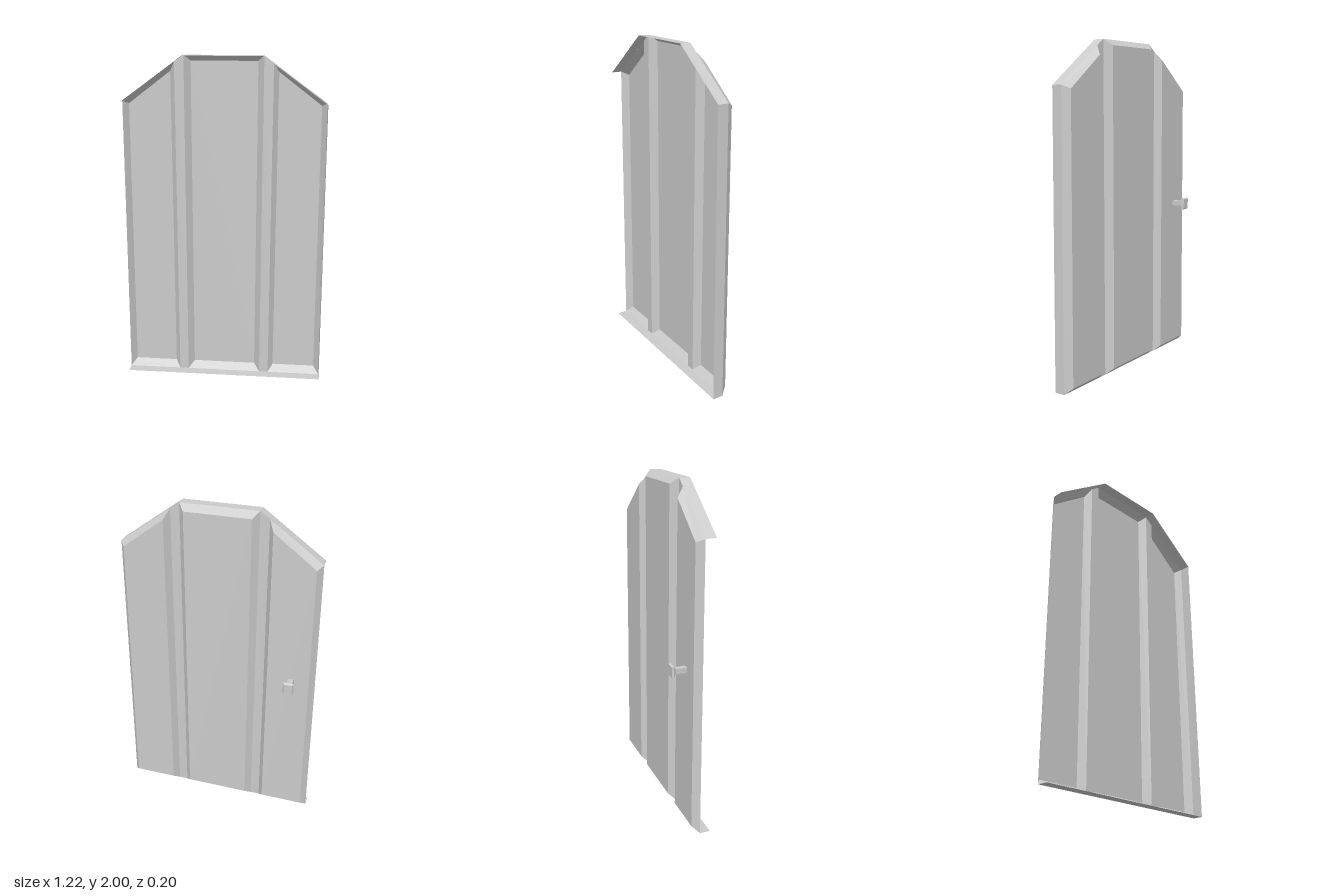
import * as THREE from 'three';

const FRONT = 0.1, SEAT = 0.036, BACK = -0.006; // depths: rim front, groove floor, panel face
const material = new THREE.MeshStandardMaterial({ color: 0xcccccc, flatShading: true, side: THREE.DoubleSide });

// Flat-shaded mesh from four-cornered faces
function quadMesh(name, quads) {
  const pos = [];
  for (const [a, b, c, d] of quads) pos.push(...a, ...b, ...c, ...a, ...c, ...d);
  const geometry = new THREE.BufferGeometry();
  geometry.setAttribute('position', new THREE.Float32BufferAttribute(pos, 3));
  geometry.computeVertexNormals();
  const mesh = new THREE.Mesh(geometry, material);
  mesh.name = name;
  return mesh;
}

const at = (points, z) => points.map(([x, y]) => [x, y, z]);
const mirror = (points) => points.map(([x, y]) => [-x, y]).reverse();

// Raised panel: bevelled sides from the groove level out to a flat face
function panel(name, base, face) {
  const lo = at(base, SEAT), hi = at(face, BACK);
  const quads = lo.map((p, i) => {
    const j = (i + 1) % lo.length;
    return [p, hi[i], hi[j], lo[j]];
  });
  quads.push([...hi].reverse());
  return quadMesh(name, quads);
}

export function createModel() {
  const group = new THREE.Group();
  group.name = 'door';

  // Rim around the door, left open along the -x edge
  const outline = [[-0.61, 0], [0.61, 0], [0.595, 1.735], [0.23, 2], [-0.23, 2], [-0.595, 1.735]];
  const inner = at(outline, SEAT), outer = at(outline, FRONT);
  group.add(quadMesh('rim', outline.slice(1).map((_, i) => [inner[i], inner[i + 1], outer[i + 1], outer[i]])));

  // Middle panel
  group.add(panel('middlePanel',
    [[-0.23, 0], [0.23, 0], [0.23, 2], [-0.23, 2]],
    [[-0.195, 0.037], [0.195, 0.037], [0.195, 1.965], [-0.195, 1.965]]));

  // Side panels and the grooves beside them
  const base = [[0.285, 0], [0.61, 0], [0.595, 1.735], [0.285, 1.96]];
  const face = [[0.315, 0.037], [0.577, 0.037], [0.565, 1.715], [0.315, 1.905]];
  const groove = [[0.23, 0], [0.285, 0], [0.285, 1.96], [0.23, 2]];
  group.add(panel('leftPanel', base, face), panel('rightPanel', mirror(base), mirror(face)));
  group.add(quadMesh('leftGroove', [at(groove, SEAT).reverse()]));
  group.add(quadMesh('rightGroove', [at(mirror(groove), SEAT).reverse()]));

  // Square handle: stem and bevelled knob
  const handle = new THREE.Group();
  handle.name = 'handle';
  handle.position.set(-0.464, 0.985, 0);
  const stem = new THREE.Mesh(new THREE.BoxGeometry(0.033, 0.03, 0.072), material);
  stem.name = 'stem';
  stem.position.z = BACK - 0.036;
  handle.add(stem);

  const ring = (w, h, z) => at([[-w, -h], [w, -h], [w, h], [-w, h]], z);
  const rings = [ring(0.017, 0.015, -0.076), ring(0.032, 0.038, -0.088), ring(0.025, 0.031, -0.1)];
  const knob = [rings[0], [...rings[2]].reverse()];
  for (let r = 0; r < 2; r++) {
    for (let i = 0; i < 4; i++) {
      const j = (i + 1) % 4;
      knob.push([rings[r][i], rings[r + 1][i], rings[r + 1][j], rings[r][j]]);
    }
  }
  handle.add(quadMesh('knob', knob));
  group.add(handle);
  return group;
}
